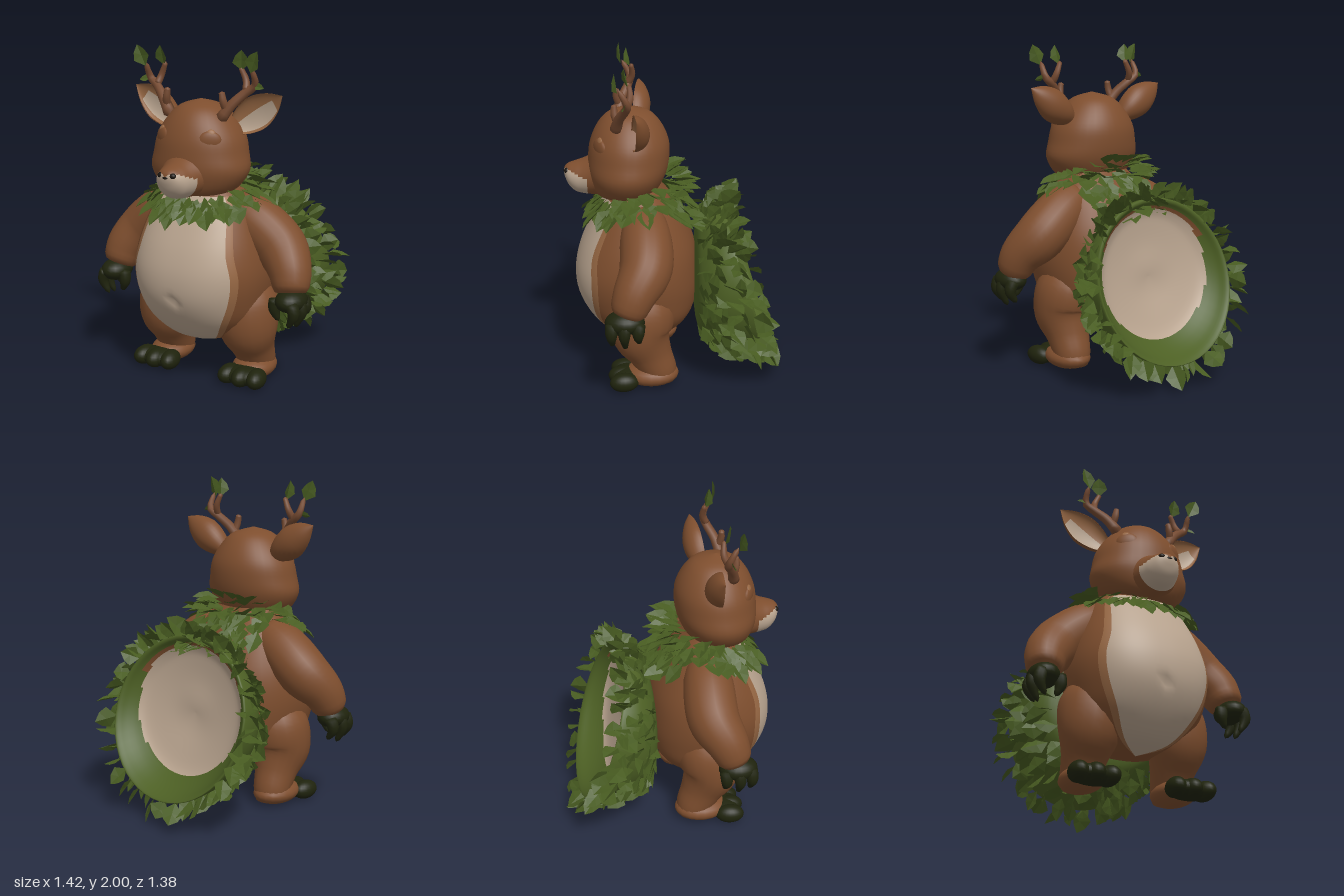
import * as THREE from 'three';
import { mergeGeometries } from 'three/addons/utils/BufferGeometryUtils.js';

const V = (x, y, z) => new THREE.Vector3(x, y, z);
const paint = (name, color, side = THREE.FrontSide) => {
  const m = new THREE.MeshStandardMaterial({ color, side });
  m.name = name;
  return m;
};

// Smooth interpolation through rows of numbers, u from 0 to 1
function sample(rows, u) {
  const f = u * (rows.length - 1), i = Math.min(Math.floor(f), rows.length - 2), t = f - i;
  const at = k => rows[Math.max(0, Math.min(rows.length - 1, k))];
  return rows[i].map((b, c) => {
    const a = at(i - 1)[c], d = at(i + 1)[c], e = at(i + 2)[c];
    return b + 0.5 * t * (d - a + t * (2 * a - 5 * b + 4 * d - e + t * (3 * (b - d) + e - a)));
  });
}

// Closed skin of rings; slot(u, v) picks the material of each cell
function skin(point, nu, nv, slot = () => 0) {
  const pos = [], cells = [];
  for (let i = 0; i <= nu; i++) for (let j = 0; j < nv; j++) pos.push(...point(i / nu, j / nv, i).toArray());
  for (let i = 0; i < nu; i++) for (let j = 0; j < nv; j++) {
    const a = i * nv + j, b = i * nv + (j + 1) % nv, k = slot((i + 0.5) / nu, (j + 0.5) / nv);
    (cells[k] ||= []).push(a, b, a + nv, b, b + nv, a + nv);
  }
  const g = new THREE.BufferGeometry(), index = [];
  cells.forEach((c, k) => { g.addGroup(index.length, c.length, k); for (const n of c) index.push(n); });
  g.setAttribute('position', new THREE.Float32BufferAttribute(pos, 3));
  g.setIndex(index);
  g.computeVertexNormals();
  return g;
}

// Tapered limb through [x, y, z, radius] rows, with rounded ends
function limb(rows, nu = 20, nv = 16, cap = 0.08) {
  const curve = new THREE.CatmullRomCurve3(rows.map(r => V(r[0], r[1], r[2])));
  const frames = curve.computeFrenetFrames(nu);
  return skin((u, v, i) => {
    const t = curve.getUtoTmapping(u), e = Math.max(0, 1 - Math.min(u, 1 - u) / cap);
    const r = sample(rows, t)[3] * Math.sqrt(Math.max(0, 1 - e * e)), a = v * Math.PI * 2;
    return curve.getPoint(t).addScaledVector(frames.normals[i], r * Math.cos(a))
      .addScaledVector(frames.binormals[i], r * Math.sin(a));
  }, nu, nv);
}

// One folded leaf from its base along dir, its upper face towards normal
function leaf(base, dir, normal, len, width) {
  const p = [[0, 0, 0], [0.5, 0.38, 0.12], [0.34, 0.72, 0.08], [0, 1, -0.06], [-0.34, 0.72, 0.08], [-0.5, 0.38, 0.12], [0, 0.5, -0.04]];
  const pos = [];
  for (let i = 0; i < 6; i++) for (const k of [6, i, (i + 1) % 6]) pos.push(p[k][0] * width, p[k][1] * len, p[k][2] * width);
  const g = new THREE.BufferGeometry();
  g.setAttribute('position', new THREE.Float32BufferAttribute(pos, 3));
  const y = dir.clone().normalize(), x = y.clone().cross(normal).normalize(), z = x.clone().cross(y);
  g.applyMatrix4(new THREE.Matrix4().makeBasis(x, y, z).setPosition(base));
  g.computeVertexNormals();
  return g;
}

export function createModel() {
  const model = new THREE.Group();
  const brown = paint('brown fur', 0x7e4e2e), tan = paint('light brown fur', 0x966743);
  const cream = paint('cream fur', 0xb9a48f), claw = paint('dark claws', 0x1f230d);
  const green = paint('leaf lining', 0x4d6024), foliage = paint('leaves', 0x485c21, THREE.DoubleSide);
  const nose = paint('nostrils', 0x1c1610), lash = paint('closed eye line', 0x634024), horn = paint('antler wood', 0x754a31);
  let seed = 7;
  const rand = () => (seed = (seed * 16807) % 2147483647) / 2147483647;
  const jit = a => (rand() - 0.5) * 2 * a;
  const add = (name, geometry, material) => {
    const m = new THREE.Mesh(geometry, material);
    m.name = name;
    model.add(m);
    return m;
  };
  const ball = (name, mat, p, r) => {
    const m = add(name, new THREE.SphereGeometry(1, 20, 14), mat);
    m.position.set(...p);
    m.scale.set(...r);
    return m;
  };

  // Torso rows: y, half width, front z, back z, half angle of the belly patch
  const torso = [[0.235, 0, 0.24, 0.24, 0.75], [0.28, 0.2, 0.41, 0.02, 0.7], [0.4, 0.35, 0.53, -0.09, 0.66],
    [0.55, 0.4, 0.61, -0.13, 0.8], [0.7, 0.42, 0.625, -0.13, 0.83], [0.85, 0.4, 0.59, -0.11, 0.75],
    [1.0, 0.35, 0.52, -0.05, 0.78], [1.12, 0.29, 0.45, 0.02, 0.85], [1.22, 0.2, 0.38, 0.1, 0.8], [1.3, 0.12, 0.33, 0.15, 0.8]];
  add('body', skin((u, v) => {
    const [y, w, f, b, half] = sample(torso, u), band = half + 0.14;
    // 24 belly columns, 2 band columns each side, 28 for the back
    const c = v * 56;
    const t = c <= 24 ? -half + c / 12 * half : c <= 26 ? half + (c - 24) * 0.07
      : c <= 54 ? band + (c - 26) / 28 * (2 * Math.PI - 2 * band) : 2 * Math.PI - band + (c - 54) * 0.07;
    const s = Math.sin(t), k = Math.cos(t);
    const x = w * Math.sign(s) * Math.abs(s) ** 0.85;
    const dent = k > 0 ? 0.025 * Math.exp(-(x * x + (y - 0.56) ** 2) / 0.0007) : 0;
    return V(x, y, (f + b) / 2 + (f - b) / 2 * Math.sign(k) * Math.abs(k) ** 0.9 - dent);
  }, 44, 56, (u, v) => u > 0.81 ? 0 : v * 56 < 24 ? 1 : v * 56 < 26 || v * 56 > 54 ? 2 : 0), [brown, cream, tan]);

  // Head rows: y, half width, front z, back z
  const skull = [[1.14, 0, 0.3, 0.3], [1.16, 0.15, 0.45, 0.16], [1.2, 0.24, 0.5, 0.11], [1.3, 0.305, 0.53, 0.06],
    [1.4, 0.29, 0.53, 0.04], [1.5, 0.265, 0.515, 0.045], [1.6, 0.2, 0.47, 0.09], [1.67, 0.12, 0.4, 0.16], [1.705, 0, 0.285, 0.285]];
  add('head', skin((u, v) => {
    const [y, w, f, b] = sample(skull, u), t = v * Math.PI * 2;
    return V(w * Math.sin(t), y, (f + b) / 2 + (f - b) / 2 * Math.cos(t));
  }, 32, 36), brown);

  // Snout rows: z, centre y, half width, half height
  const muzzle = [[0.4, 1.31, 0.2, 0.15], [0.5, 1.285, 0.14, 0.125], [0.56, 1.273, 0.115, 0.108],
    [0.61, 1.272, 0.098, 0.093], [0.65, 1.285, 0.073, 0.066], [0.672, 1.3, 0.038, 0.032], [0.68, 1.305, 0, 0]];
  add('snout', skin((u, v) => {
    const [z, y, w, h] = sample(muzzle, u), t = v * Math.PI * 2;
    return V(-w * Math.sin(t), y + h * Math.cos(t), z);
  }, 36, 48, (u, v) => u > 0.25 && Math.abs(v - 0.5) < 0.2 + 0.25 * u ? 1 : 0), [brown, cream]);
  ball('noseTip', nose, [0, 1.306, 0.664], [0.026, 0.012, 0.018]);

  const leaves = [];
  for (const s of [1, -1]) {
    const side = s > 0 ? 'left' : 'right';
    const path = rows => rows.map(([x, ...r]) => [x * s, ...r]);
    ball(side + 'Nostril', nose, [s * 0.038, 1.316, 0.655], [0.022, 0.018, 0.02]);

    // Closed eyes
    ball(side + 'Eyelid', brown, [s * 0.155, 1.49, 0.45], [0.068, 0.06, 0.024]).rotation.y = s * 0.55;
    add(side + 'EyeLine', limb(path([[0.095, 1.458, 0.483, 0.004], [0.155, 1.438, 0.469, 0.006], [0.215, 1.46, 0.426, 0.004]]), 10, 6), lash);
    ball(side + 'BrowSpot', tan, [s * 0.165, 1.54, 0.45], [0.024, 0.02, 0.008]).rotation.set(-0.5, s * 0.5, 0);

    // Ears: cupped rows of distance, half width, depth; paler along the lower inside
    const earRows = [[0, 0.045, 0.06], [0.08, 0.085, 0.09], [0.18, 0.1, 0.09], [0.28, 0.065, 0.055], [0.36, 0, 0]];
    const ear = add(side + 'Ear', skin((u, v) => {
      const [y, w, d] = sample(earRows, u), t = v * Math.PI * 2, k = Math.cos(t);
      return V(w * Math.sin(t), y, k > 0 ? -0.5 * d * k : d * k);
    }, 16, 32, (u, v) => {
      const t = v * Math.PI * 2, k = Math.cos(t);
      return k > 0.5 && u < 0.75 && s * Math.sin(t) > -0.1 ? 2 : k > 0.15 ? 1 : 0;
    }), [brown, tan, cream]);
    ear.position.set(s * 0.2, 1.545, 0.262);
    ear.rotation.set(0, s * 0.12, -s * 0.98);

    // Antlers with sprouting leaves
    [[[0.16, 1.59, 0.36, 0.036], [0.23, 1.69, 0.33, 0.029], [0.3, 1.76, 0.29, 0.026], [0.35, 1.8, 0.28, 0.022], [0.355, 1.9, 0.33, 0.014]],
      [[0.3, 1.76, 0.295, 0.022], [0.285, 1.82, 0.265, 0.02], [0.25, 1.9, 0.27, 0.014]],
      [[0.2, 1.66, 0.345, 0.022], [0.19, 1.71, 0.36, 0.022], [0.18, 1.765, 0.36, 0.017]]]
      .forEach((rows, i) => add(side + 'Antler' + i, limb(path(rows), 14, 9), horn));
    leaves.push(
      leaf(V(s * 0.35, 1.875, 0.335), V(s * 0.4, 1, 0.15), V(-s * 0.2, 0, 1), 0.135, 0.1),
      leaf(V(s * 0.26, 1.88, 0.275), V(s * 0.12, 1, 0.25), V(s * 0.3, 0, 1), 0.12, 0.1),
      leaf(V(s * 0.35, 1.8, 0.29), V(s, -0.15, 0.2), V(0, 0.6, 1), 0.07, 0.045));

    // Arms, palms and clawed fingers
    add(side + 'Arm', limb(path([[0.16, 1.08, 0.2, 0.12], [0.32, 0.985, 0.185, 0.152], [0.475, 0.855, 0.185, 0.155],
      [0.57, 0.74, 0.25, 0.128], [0.605, 0.6, 0.305, 0.1]]), 24, 20), brown);
    ball(side + 'Palm', claw, [s * 0.612, 0.585, 0.308], [0.09, 0.068, 0.117]);
    [[0.65, 0.225, 0.455], [0.662, 0.305, 0.425], [0.65, 0.38, 0.44], [0.54, 0.345, 0.46]].forEach(([x, z, tip], i) =>
      add(side + 'Finger' + i, limb(path([[x - 0.01, 0.6, z, 0.038], [x + (i < 3 ? 0.015 : -0.015), 0.53, z + 0.005, 0.035],
        [x - 0.025 + (i === 3 ? 0.035 : 0), tip, z, 0.013]]), 10, 10), claw));

    // Legs, feet and toes
    add(side + 'Leg', limb(path([[0.22, 0.66, 0.2, 0.13], [0.255, 0.5, 0.205, 0.195], [0.28, 0.35, 0.22, 0.185],
      [0.285, 0.21, 0.165, 0.135], [0.29, 0.08, 0.11, 0.11], [0.29, 0.012, 0.11, 0.09]]), 24, 20, 0.05), brown);
    ball(side + 'Foot', brown, [s * 0.295, 0.075, 0.16], [0.128, 0.073, 0.17]);
    ball(side + 'Forefoot', claw, [s * 0.303, 0.06, 0.305], [0.143, 0.057, 0.095]);
    [0.212, 0.305, 0.396].forEach((x, i) =>
      ball(side + 'Toe' + i, claw, [s * x, 0.06, 0.325 + (i === 1 ? 0.012 : 0)], [0.058, 0.059, 0.09]).rotation.y = s * (i - 1) * 0.15);
  }

  // Bowl tail opening backwards: radius, z, how far the rim tilt applies
  const bowl = [[0, -0.1, 0], [0.28, -0.12, 0], [0.385, -0.17, 0.08], [0.455, -0.28, 0.45], [0.48, -0.43, 1],
    [0.46, -0.435, 1], [0.43, -0.39, 0.9], [0.385, -0.345, 0.8], [0.32, -0.31, 0.7], [0.16, -0.28, 0.6], [0, -0.27, 0]];
  const onBowl = (u, v) => {
    const [r, z, tilt] = sample(bowl, u), a = v * Math.PI * 2;
    return V(r * 1.05 * Math.sin(a), 0.62 + r * Math.cos(a), z + tilt * 0.31 * r * Math.cos(a));
  };
  add('tailBowl', skin(onBowl, 40, 48, (u, v) => {
    const top = Math.cos(v * 2 * Math.PI);
    return u < 0.6 ? 0 : u > 0.7 - top * 0.06 ? 1 : top > 0.45 ? 2 : 0;
  }), [green, cream, brown]);

  // Overlapping leaves around the outside of the tail
  for (let k = 0; k < 7; k++) {
    const n = 22 + k * 2;
    for (let j = 0; j < n; j++) {
      const v = (j + (k % 2) / 2) / n + jit(0.01), a = v * Math.PI * 2, f = k / 6;
      const out = V(Math.sin(a), Math.cos(a), 0), back = V(0, 0, -1);
      const dir = out.clone().multiplyScalar(0.62 + jit(0.22)).addScaledVector(back, 0.35 + f * 0.3 + jit(0.2));
      dir.x += jit(0.25);
      dir.y += jit(0.25);
      const up = out.multiplyScalar(0.7).add(V(jit(0.2), jit(0.2), -0.7));
      leaves.push(leaf(onBowl(0.13 + 0.265 * f, v), dir, up, 0.135 + jit(0.03), 0.12 + jit(0.02)));
    }
  }

  // Leaf collar around the neck, drooping in front and lifting behind
  for (let k = 0; k < 4; k++) for (let j = 0; j < 20; j++) {
    const a = (j + (k % 2) / 2) / 20 * Math.PI * 2 + jit(0.08), c = Math.cos(a), r = 0.2 + k * 0.026;
    const base = V(r * 1.08 * Math.sin(a), 1.215 - 0.06 * c - k * 0.024, 0.24 + r * 0.9 * c);
    const dir = V(Math.sin(a) + jit(0.3), -0.35 - 0.65 * c + jit(0.35), c + jit(0.2));
    leaves.push(leaf(base, dir, V(Math.sin(a) * 0.6 + jit(0.3), 1, c * 0.9 + jit(0.2)), 0.14 + jit(0.035), 0.115 + jit(0.02)));
  }

  // Leaf cape running from the collar down to the tail: y, z, half width
  const cape = [[1.22, 0.06, 0.22], [1.15, 0.0, 0.23], [1.08, -0.06, 0.2], [1.03, -0.12, 0.16], [1.03, -0.18, 0.12], [1.06, -0.23, 0.1]];
  for (let k = 0; k < 9; k++) for (let j = 0; j < 6; j++) {
    const [y, z, w] = sample(cape, k / 8), x = ((j + (k % 2) / 2) / 5.5 * 2 - 1) * w;
    leaves.push(leaf(V(x, y - Math.abs(x) * 0.15, z + x * x * 1.2), V(x * 1.2 + jit(0.35), -0.55 + k * 0.08 + jit(0.3), -0.6),
      V(x + jit(0.2), 0.7, -0.5), 0.14 + jit(0.025), 0.12 + jit(0.015)));
  }
  add('leaves', mergeGeometries(leaves), foliage);
  return model;
}
